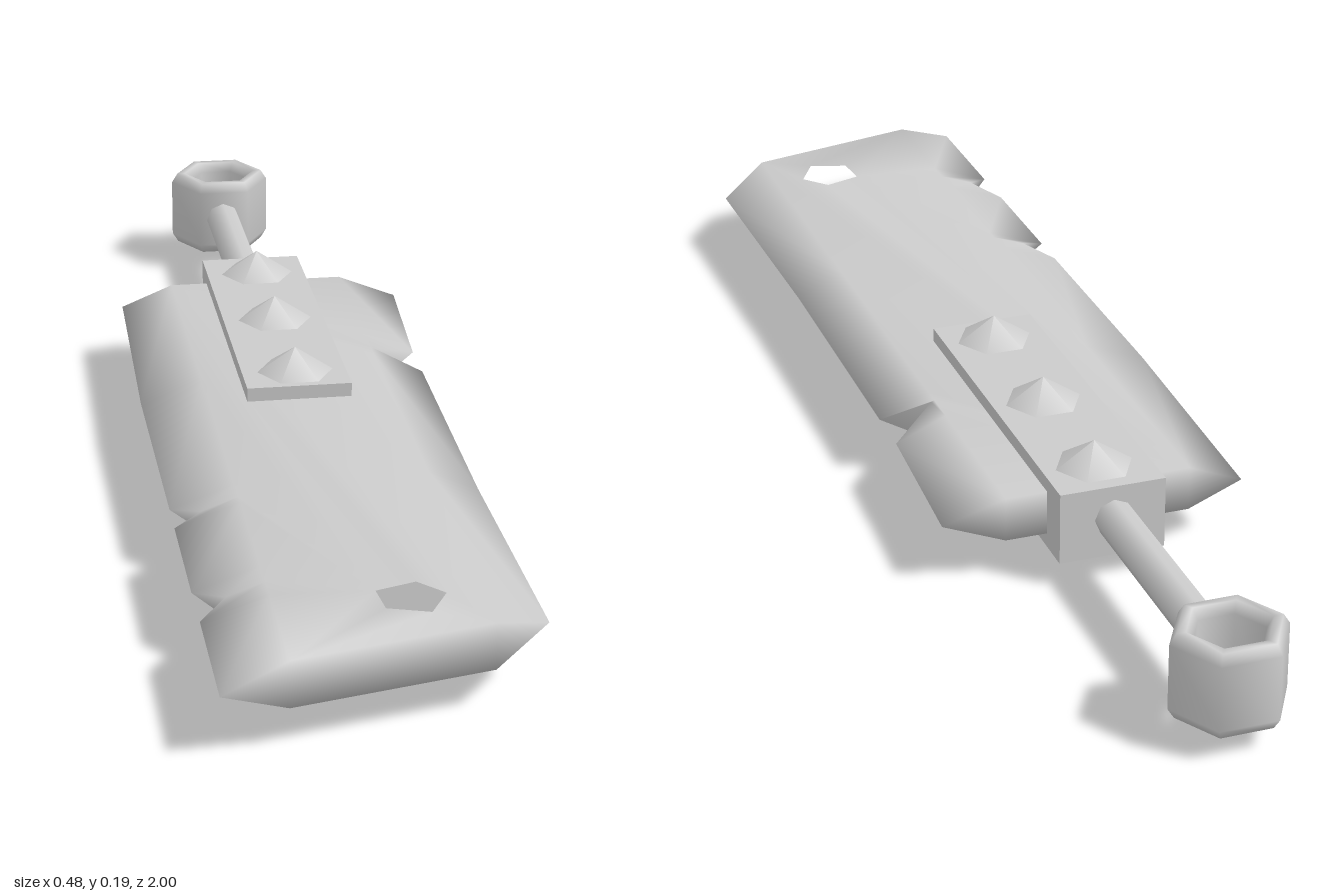
import * as THREE from 'three';
import { mergeGeometries, mergeVertices } from 'three/addons/utils/BufferGeometryUtils.js';

const MID = 0.095, HALF = 0.035, INNER = 0.145;

// Edge stations: [z, distance from centre, half thickness, z on the inner line]
const rightEdge = [
  [-0.425, 0.24, 0, -0.435], [-0.155, 0.225, 0], [-0.1, 0.15, 0.033], [-0.07, 0.225, 0],
  [0.4, 0.222, 0], [0.85, 0.23, 0, 0.91],
];
const leftEdge = [
  [-0.435, 0.23, 0], [0, 0.242, 0], [0.41, 0.241, 0], [0.455, 0.2, 0.015], [0.475, 0.241, 0],
  [0.69, 0.241, 0], [0.74, 0.2, 0.015], [0.78, 0.24, 0], [1, 0.24, 0, 0.978],
];
const innerZ = (s) => s[3] ?? s[0];

// Sharpened strip along one side of the blade
function bevel(stations, side) {
  const pos = [];
  const tri = (a, b, c) => pos.push(...a, ...(side > 0 ? [...b, ...c] : [...c, ...b]));
  const quad = (a, b, c, d) => { tri(a, b, c); tri(a, c, d); };
  const rings = stations.map((s) => [
    [side * INNER, MID + HALF, innerZ(s)],
    [side * s[1], MID + s[2], s[0]],
    [side * s[1], MID - s[2], s[0]],
    [side * INNER, MID - HALF, innerZ(s)],
  ]);
  for (let i = 0; i < rings.length - 1; i++) {
    const a = rings[i], b = rings[i + 1];
    for (let k = 0; k < 3; k++) quad(a[k], b[k], b[k + 1], a[k + 1]);
  }
  const first = rings[0], last = rings[rings.length - 1];
  tri(first[0], first[1], first[3]);
  tri(last[0], last[3], last[1]);
  return new THREE.BufferGeometry().setAttribute('position', new THREE.Float32BufferAttribute(pos, 3));
}

// Flat middle of the blade with its hole, left open where the bevels join
function slab() {
  const pt = (x, z) => new THREE.Vector2(x, -z);
  const shape = new THREE.Shape([
    ...rightEdge.map((s) => pt(INNER, innerZ(s))),
    ...[...leftEdge].reverse().map((s) => pt(-INNER, innerZ(s))),
  ]);
  shape.holes.push(new THREE.Path([
    pt(0, 0.79), pt(0.06, 0.77), pt(0.095, 0.81), pt(0.065, 0.865), pt(0.005, 0.845),
  ]));
  const g = new THREE.ExtrudeGeometry(shape, { depth: 2 * HALF, bevelEnabled: false });
  g.rotateX(-Math.PI / 2).translate(0, MID - HALF, 0);
  const p = g.attributes.position.array, kept = [];
  for (let i = 0; i < p.length; i += 9) {
    const xs = [p[i], p[i + 3], p[i + 6]];
    const joint = Math.min(...xs) > INNER - 0.001 || Math.max(...xs) < -INNER + 0.001;
    if (!joint) kept.push(...p.slice(i, i + 9));
  }
  return new THREE.BufferGeometry().setAttribute('position', new THREE.Float32BufferAttribute(kept, 3));
}

export function createModel() {
  const group = new THREE.Group();
  const material = new THREE.MeshStandardMaterial({ color: 0xcccccc });
  const add = (name, geometry, x = 0, y = 0, z = 0) => {
    const mesh = new THREE.Mesh(geometry, material);
    mesh.name = name;
    mesh.position.set(x, y, z);
    group.add(mesh);
    return mesh;
  };

  // Notched blade
  const blade = mergeVertices(mergeGeometries([slab(), bevel(rightEdge, 1), bevel(leftEdge, -1)]));
  blade.computeVertexNormals();
  add('blade', blade);

  // Mounting block through the blade
  add('mountingBlock', new THREE.BoxGeometry(0.165, 0.114, 0.59), -0.002, MID, -0.195);

  // Studs above and below
  const stud = new THREE.ConeGeometry(0.06, 0.04, 6, 1, false, Math.PI / 2);
  for (const z of [0.035, -0.195, -0.415]) {
    add('topStud', stud, 0, 0.172, z);
    add('bottomStud', stud, 0, 0.02, z).rotation.x = Math.PI;
  }

  // Grip
  const grip = new THREE.CylinderGeometry(0.03, 0.03, 0.4, 8).rotateX(Math.PI / 2);
  add('grip', grip, -0.004, 0.1, -0.67);

  // Six-sided pommel ring
  const profile = [
    [0.054, -0.05], [0.064, -0.066], [0.078, -0.066], [0.088, -0.05], [0.088, 0.05],
    [0.078, 0.066], [0.064, 0.066], [0.054, 0.05], [0.054, -0.05],
  ].map(([r, y]) => new THREE.Vector2(r, y));
  add('pommelRing', new THREE.LatheGeometry(profile, 6, Math.PI / 2), -0.002, 0.101, -0.924);

  return group;
}
